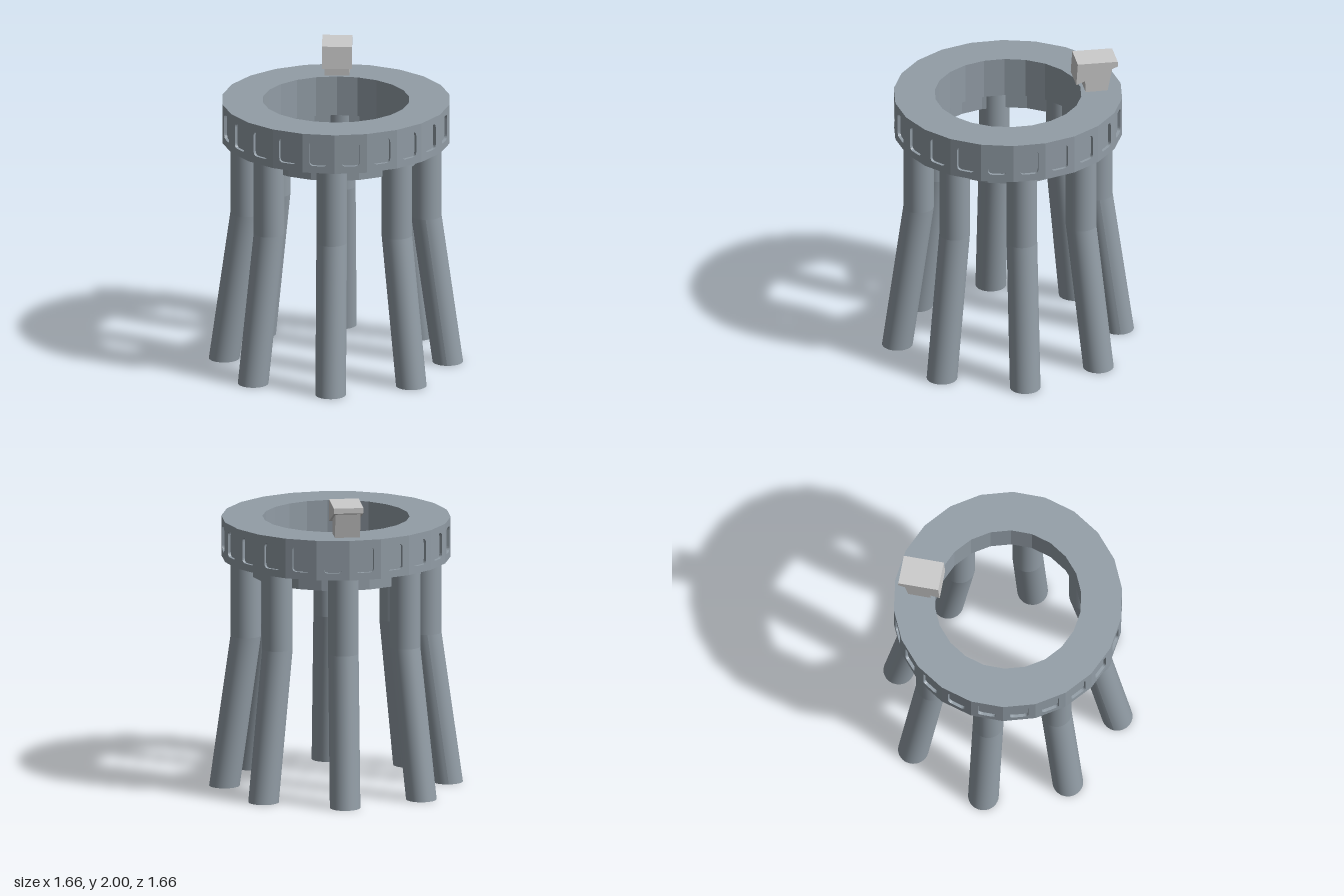
import * as THREE from 'three';

const SIDES = 22;

// Closed square-section ring with flat facets
function facetedRing(inner, outer, bottom, top) {
  const profile = [[outer, bottom], [outer, top], [inner, top], [inner, bottom], [outer, bottom]]
    .map(([r, y]) => new THREE.Vector2(r, y));
  return new THREE.LatheGeometry(profile, SIDES);
}

// Rounded rectangle centred on the origin
function roundedRect(path, w, h, r) {
  const x = w / 2, y = h / 2;
  path.moveTo(-x + r, -y);
  path.lineTo(x - r, -y);
  path.quadraticCurveTo(x, -y, x, -y + r);
  path.lineTo(x, y - r);
  path.quadraticCurveTo(x, y, x - r, y);
  path.lineTo(-x + r, y);
  path.quadraticCurveTo(-x, y, -x, y - r);
  path.lineTo(-x, -y + r);
  path.quadraticCurveTo(-x, -y, -x + r, -y);
  return path;
}

// Side profile given as [z, y], extruded across x
function sideProfile(points, width) {
  const shape = new THREE.Shape(points.map(([z, y]) => new THREE.Vector2(z, y)));
  const geo = new THREE.ExtrudeGeometry(shape, { depth: width, bevelEnabled: false });
  geo.translate(0, 0, -width / 2);
  geo.rotateY(-Math.PI / 2);
  return geo;
}

export function createModel() {
  const model = new THREE.Group();
  model.name = 'ringOnLegs';
  const slate = new THREE.MeshStandardMaterial({ color: 0x929da6, flatShading: true });
  const slateSmooth = new THREE.MeshStandardMaterial({ color: 0x929da6 });
  const grey = new THREE.MeshStandardMaterial({ color: 0xcccccc, flatShading: true });

  const add = (name, geo, mat, parent = model) => {
    const mesh = new THREE.Mesh(geo, mat);
    mesh.name = name;
    parent.add(mesh);
    return mesh;
  };

  // Main ring: a core, faced with panels that leave a recessed window per facet
  const R = 0.748, bottom = 1.52, top = 1.785, recess = 0.02;
  const half = Math.PI / SIDES;
  const apothem = R * Math.cos(half);
  add('ringCore', facetedRing(0.48, (apothem - recess) / Math.cos(half), bottom, top), slate);

  const panelShape = new THREE.Shape();
  const w = R * Math.sin(half), h = (top - bottom) / 2;
  panelShape.moveTo(-w, -h);
  panelShape.lineTo(w, -h);
  panelShape.lineTo(w, h);
  panelShape.lineTo(-w, h);
  panelShape.closePath();
  panelShape.holes.push(roundedRect(new THREE.Path(), 0.12, 0.17, 0.03));
  const panelGeo = new THREE.ExtrudeGeometry(panelShape, { depth: recess, bevelEnabled: false, curveSegments: 5 });
  panelGeo.translate(0, (top + bottom) / 2, apothem - recess);
  const panels = new THREE.Group();
  panels.name = 'windowPanels';
  model.add(panels);
  for (let i = 0; i < SIDES; i++) {
    add('windowPanel', panelGeo, slate, panels).rotation.y = (2 * i + 1) * half;
  }

  // Thin collar under the ring
  add('lowerCollar', facetedRing(0.52, 0.56, 1.41, 1.53), slate);

  // Legs: upright at the top, splayed outward below the knee, cut level at the floor
  const legRadius = 0.1, knee = 1, legTop = 1.53, upperR = 0.59, footR = 0.73;
  const upperGeo = new THREE.CylinderGeometry(legRadius, legRadius, legTop - knee, 32);
  upperGeo.translate(upperR, (legTop + knee) / 2, 0);
  const lowerGeo = new THREE.CylinderGeometry(legRadius, legRadius, knee, 32);
  lowerGeo.translate(0, knee / 2, 0);
  const pos = lowerGeo.attributes.position;
  for (let i = 0; i < pos.count; i++) {
    pos.setX(i, pos.getX(i) + footR + (upperR - footR) * pos.getY(i) / knee);
  }
  lowerGeo.computeVertexNormals();
  for (let i = 0; i < 8; i++) {
    const leg = new THREE.Group();
    leg.name = 'leg';
    leg.rotation.y = -(i * Math.PI / 4 + THREE.MathUtils.degToRad(2));
    add('upperLeg', upperGeo, slateSmooth, leg);
    add('lowerLeg', lowerGeo, slateSmooth, leg);
    model.add(leg);
  }

  // Wedge-shaped block on a tapered neck at the back of the ring
  add('blockNeck', sideProfile([[-0.645, 1.78], [-0.5, 1.78], [-0.495, 1.9], [-0.68, 1.96]], 0.165), grey);
  add('blockHead', sideProfile([[-0.71, 1.96], [-0.435, 1.85], [-0.445, 2], [-0.71, 1.995]], 0.195), grey);

  return model;
}
